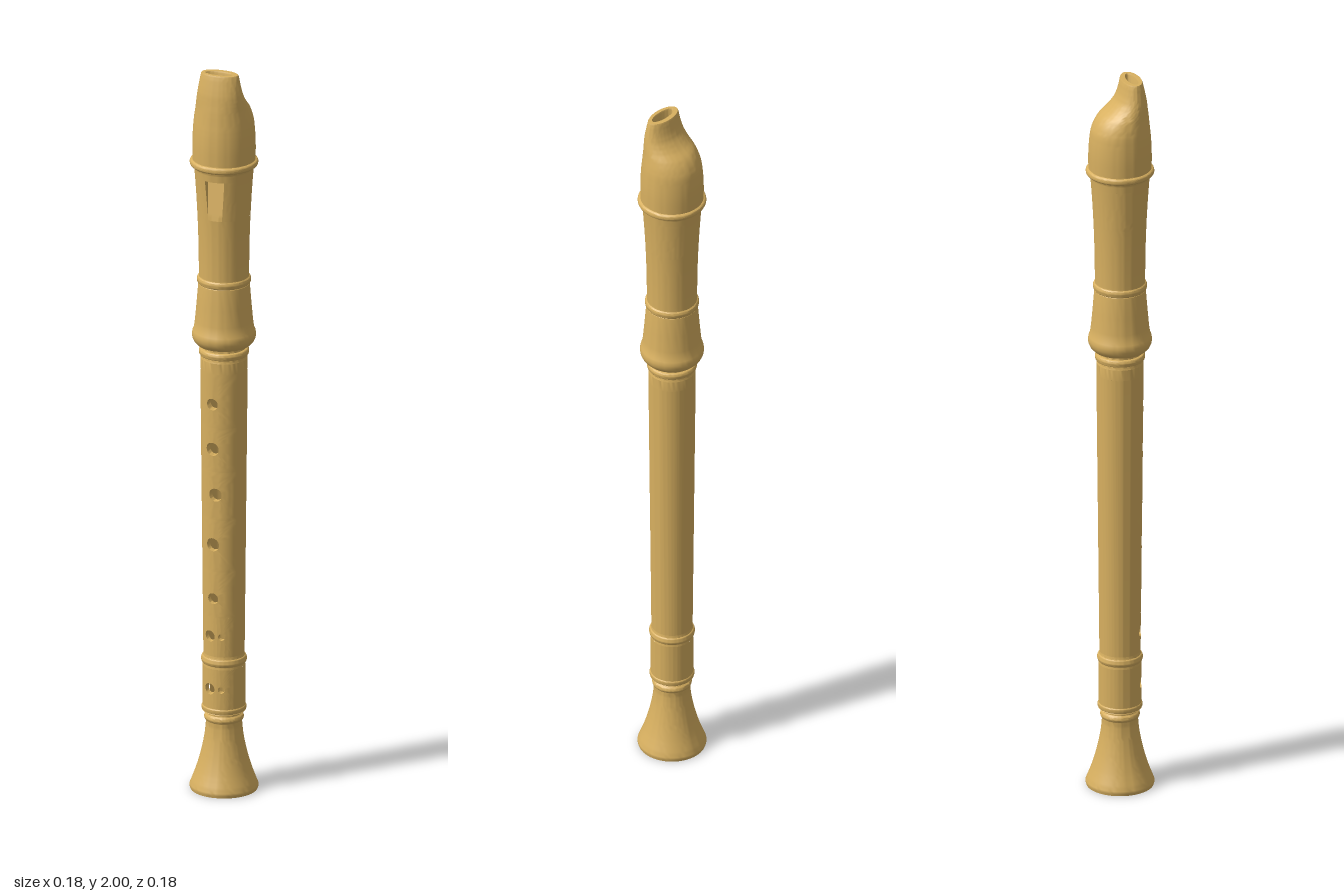
import * as THREE from 'three';
import { toCreasedNormals } from 'three/addons/utils/BufferGeometryUtils.js';

const wood = new THREE.MeshStandardMaterial({ color: 0xd8b060 });
wood.name = 'paleWood';
const TAU = Math.PI * 2;
const mix = THREE.MathUtils.lerp;

// Grid surface: point(u, v) with u to the right and v up when seen from its front
function sheet(nu, nv, point) {
  const pos = [], index = [];
  for (let j = 0; j <= nv; j++)
    for (let i = 0; i <= nu; i++) pos.push(...point(i / nu, j / nv));
  for (let j = 0; j < nv; j++)
    for (let i = 0; i < nu; i++) {
      const a = j * (nu + 1) + i, b = a + 1, d = a + nu + 1, c = d + 1;
      index.push(a, b, c, a, c, d);
    }
  const g = new THREE.BufferGeometry();
  g.setAttribute('position', new THREE.Float32BufferAttribute(pos, 3));
  g.setIndex(index);
  return g;
}

// Half-round ring in a turned profile, as [radius, y] points
function bead(r, y, half, bulge) {
  return Array.from({ length: 9 }, (_, i) => {
    const a = Math.PI * (i / 8 - 0.5);
    return [r + bulge * Math.cos(a), y + half * Math.sin(a)];
  });
}

const onCylinder = (r, t, y) => [r * Math.sin(t), y, r * Math.cos(t)];

export function createModel() {
  const model = new THREE.Group();
  model.name = 'woodenFlute';

  function add(name, geometry) {
    const mesh = new THREE.Mesh(toCreasedNormals(geometry, 0.6), wood);
    mesh.name = name;
    model.add(mesh);
  }
  function turned(name, profile, start = 0, length = TAU) {
    const pts = profile.map(([r, y]) => new THREE.Vector2(r, y));
    add(name, new THREE.LatheGeometry(pts, 64, start, length));
  }

  // Flared foot with its tenon collar
  const flare = new THREE.CatmullRomCurve3([[0.087, 0.02], [0.074, 0.055], [0.061, 0.1], [0.051, 0.15], [0.047, 0.19]]
    .map(([r, y]) => new THREE.Vector3(r, y, 0))).getPoints(20).map(p => [p.x, p.y]);
  turned('foot', [[0.08, 0], [0.088, 0], [0.09, 0.006], [0.09, 0.013], ...flare,
    ...bead(0.048, 0.2, 0.008, 0.004), [0.046, 0.21], [0.046, 0.219],
    [0.057, 0.219], ...bead(0.056, 0.227, 0.007, 0.003), [0.056, 0.235]]);

  // Hollow bore, facing inwards
  turned('bore', [[0.04, 1.72], [0.04, 0.32], [0.034, 0.24], [0.034, 0.18], [0.038, 0.15],
    [0.048, 0.1], [0.062, 0.05], [0.08, 0]]);

  // Finger-hole tube: back shell plus drilled front panels
  const T = 0.95;
  const lowerR = () => 0.056;
  const upperR = y => mix(0.054, 0.062, (y - 0.38) / 0.79);
  turned('lowerBodyBack', [[0.056, 0.235], [0.056, 0.345]], T, TAU - 2 * T);
  turned('bodyRing', [[0.056, 0.345], [0.055, 0.35], ...bead(0.055, 0.362, 0.01, 0.005), [0.054, 0.375], [0.054, 0.38]]);
  turned('bodyBack', [[0.054, 0.38], [0.062, 1.17]], T, TAU - 2 * T);

  function drilled(R, y0, y1, t0, t1, cx, cy, r) {
    const corners = [[t0, y0], [t0, y1], [t1, y1], [t1, y0], [t0, y0]];
    const edge = u => {
      const k = Math.min(3, Math.floor(u * 4)), f = u * 4 - k;
      return [mix(corners[k][0], corners[k + 1][0], f), mix(corners[k][1], corners[k + 1][1], f)];
    };
    const ct = Math.asin(cx / R(cy));
    const rim = u => {
      const [t, y] = edge(u);
      const a = Math.atan2(y - cy, (t - ct) * R(cy));
      return [cx + r * Math.cos(a), cy + r * Math.sin(a)];
    };
    add('fingerHolePanel', sheet(40, 6, (u, v) => {
      const [t, y] = edge(u), [hx, hy] = rim(u);
      const yy = mix(hy, y, v);
      return onCylinder(R(yy), mix(Math.asin(hx / R(hy)), t, v), yy);
    }));
    add('fingerHoleWall', sheet(40, 1, (u, v) => {
      const [x, y] = rim(u), q = v ? R(y) : 0.04;
      return [x, y, Math.sqrt(q * q - x * x)];
    }));
  }
  [[1.02, 1.17, -0.011, 1.085, 0.016], [0.897, 1.02, -0.011, 0.96, 0.018],
    [0.763, 0.897, -0.003, 0.833, 0.018], [0.618, 0.763, -0.011, 0.693, 0.018],
    [0.49, 0.618, -0.011, 0.542, 0.015]]
    .forEach(([y0, y1, x, y, r]) => drilled(upperR, y0, y1, -T, T, x, y, r));
  // Paired holes: one large, one small
  [[upperR, 0.38, 0.49, 0.436], [lowerR, 0.235, 0.345, 0.289]].forEach(([R, y0, y1, y]) => {
    drilled(R, y0, y1, -T, 0, -0.021, y, 0.015);
    drilled(R, y0, y1, 0, T, 0.012, y, 0.009);
  });

  // Socket rings between body and head
  turned('bodyTopRings', [[0.062, 1.17], [0.062, 1.2], [0.06, 1.203], [0.06, 1.208],
    ...bead(0.062, 1.218, 0.009, 0.004), [0.058, 1.228], [0.058, 1.245]]);

  // Head joint: flared socket, ring, waist and window
  const headR = y => 0.066 + 0.012 * ((y - 1.44) / 0.29) ** 2;
  const headRows = (a, b) => Array.from({ length: 9 }, (_, i) => {
    const y = mix(a, b, i / 8);
    return [headR(y), y];
  });
  turned('headSocket', [[0.058, 1.236], [0.07, 1.238], [0.078, 1.246], [0.083, 1.257], [0.084, 1.267], [0.082, 1.277],
    [0.079, 1.283], [0.076, 1.305], [0.072, 1.35], [0.068, 1.4], [0.067, 1.407],
    ...bead(0.066, 1.418, 0.01, 0.005), [0.066, 1.43]]);
  turned('headWaist', [[0.066, 1.43], ...headRows(1.44, 1.6)]);
  turned('headTopRing', [...headRows(1.71, 1.73), [0.08, 1.735], ...bead(0.083, 1.745, 0.009, 0.007), [0.083, 1.756]]);

  // Sound window: a ramp cut deeper towards its upper edge
  const yA = 1.6, yB = 1.71;
  const halfW = y => mix(0.019, 0.027, (y - yA) / (yB - yA));
  const surfaceZ = (x, y) => Math.sqrt(headR(y) ** 2 - x * x);
  const rampZ = (x, y) => Math.min(surfaceZ(x, y), mix(headR(yA), 0.048, (y - yA) / (yB - yA)));
  add('headWindowShell', sheet(64, 10, (u, v) => {
    const y = mix(yA, yB, v), t = Math.asin(halfW(y) / headR(y));
    return onCylinder(headR(y), mix(t, TAU - t, u), y);
  }));
  add('windowRamp', sheet(10, 12, (u, v) => {
    const y = mix(yA, yB, v), x = mix(-1, 1, u) * halfW(y);
    return [x, y, rampZ(x, y)];
  }));
  for (const s of [-1, 1])
    add('windowSide', sheet(1, 12, (u, v) => {
      const y = mix(yA, yB, v), x = s * halfW(y);
      return [x, y, (u > 0.5) === (s > 0) ? surfaceZ(x, y) : rampZ(x, y)];
    }));
  add('windowTop', sheet(10, 1, (u, v) => {
    const x = mix(-1, 1, u) * halfW(yB);
    return [x, yB, v ? surfaceZ(x, yB) : rampZ(x, yB)];
  }));

  // Beak: cross-sections as [y, half width, front z, back z]
  const outer = [[1.756, 0.083, 0.083, -0.083], [1.8, 0.083, 0.083, -0.083], [1.84, 0.081, 0.081, -0.08],
    [1.87, 0.078, 0.078, -0.074], [1.9, 0.072, 0.075, -0.057], [1.922, 0.067, 0.072, -0.031],
    [1.945, 0.062, 0.069, -0.012], [1.97, 0.057, 0.064, -0.002], [1.996, 0.052, 0.058, 0.004]];
  const inner = [[2, 0.05, 0.056, 0.006], [2, 0.039, 0.047, 0.018], [1.996, 0.037, 0.045, 0.02],
    [1.9, 0.037, 0.045, 0.018], [1.72, 0.04, 0.04, -0.04]];
  const smoothRows = [];
  for (let k = 0; k <= 32; k++) {
    const i = Math.min(7, Math.floor(k / 4)), f = k / 4 - i;
    const row = n => outer[Math.max(0, Math.min(8, n))];
    smoothRows.push(outer[0].map((_, c) => {
      const [a, b, d, e] = [row(i - 1)[c], row(i)[c], row(i + 1)[c], row(i + 2)[c]];
      const m = (d - a) / 2, n = (e - b) / 2;
      return b + f * m + f * f * (3 * (d - b) - 2 * m - n) + f ** 3 * (2 * (b - d) + m + n);
    }));
  }
  const rows = [...smoothRows, ...inner];
  add('beak', sheet(64, rows.length - 1, (u, v) => {
    const [y, hx, zf, zb] = rows[Math.round(v * (rows.length - 1))];
    const t = u * TAU;
    return [hx * Math.sin(t), y, (zf + zb) / 2 + (zf - zb) / 2 * Math.cos(t)];
  }));

  return model;
}
